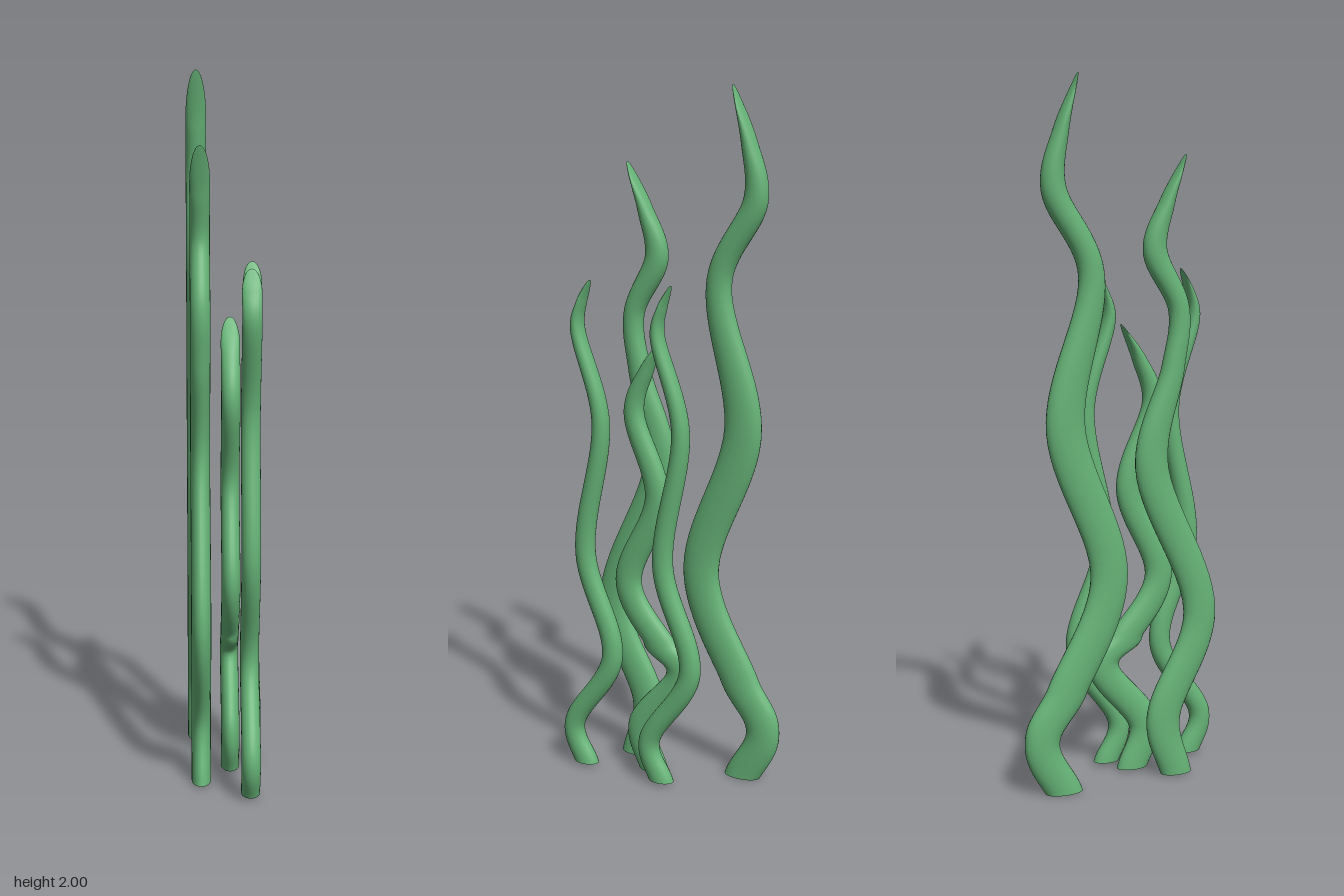
import * as THREE from 'three';

const SLOPE = 0.235;   // all blades wave in parallel, slightly turned planes
const SIDES = 24, RINGS = 120;

// Horizontal ellipses follow the wave through points [height, centre z, half depth],
// mostly its turning points, and close to a thin rounded tip.
function bladeGeometry(halfWidth, tipLength, points) {
  const curve = new THREE.CatmullRomCurve3(points.map(([y, z, d]) => new THREE.Vector3(d, y, z)));
  const top = points[points.length - 1][0];
  const positions = [], index = [];
  for (let i = 0; i <= RINGS; i++) {
    const s = 1 - (1 - i / RINGS) ** 1.3;                       // closer rings near the tip
    const p = curve.getPoint(s), tangent = curve.getTangent(s);
    const t = Math.max(0, 1 - (top - p.y) / tipLength);
    const across = halfWidth * Math.sqrt(Math.max(0, 1 - t * t));
    const depth = Math.max(0, p.x) * Math.hypot(1, tangent.z / tangent.y);  // wider where it leans
    for (let j = 0; j <= SIDES; j++) {
      const a = (j / SIDES) * Math.PI * 2;
      const dx = across * Math.cos(a), z = p.z + depth * Math.sin(a);
      positions.push(SLOPE * z + dx, p.y, z - SLOPE * dx);
    }
  }
  const row = SIDES + 1;
  for (let i = 0; i < RINGS; i++) for (let j = 0; j < SIDES; j++) {
    const a = i * row + j, b = a + row;
    index.push(a, b, a + 1, b, b + 1, a + 1);
  }
  // flat base with its own vertices for a sharp edge
  const base = positions.length / 3;
  positions.push(...positions.slice(0, row * 3));
  for (let j = 1; j < SIDES - 1; j++) index.push(base, base + j, base + j + 1);

  const g = new THREE.BufferGeometry();
  g.setAttribute('position', new THREE.Float32BufferAttribute(positions, 3));
  g.setIndex(index);
  g.computeVertexNormals();
  // blend normals across the seam
  const n = g.attributes.normal, v = new THREE.Vector3(), u = new THREE.Vector3();
  for (let i = 0; i <= RINGS; i++) {
    const a = i * row, b = a + SIDES;
    v.fromBufferAttribute(n, a).add(u.fromBufferAttribute(n, b)).normalize();
    n.setXYZ(a, v.x, v.y, v.z);
    n.setXYZ(b, v.x, v.y, v.z);
  }
  return g;
}

export function createModel() {
  const group = new THREE.Group();
  group.name = 'seaweed';
  const material = new THREE.MeshStandardMaterial({ color: 0x66b377 });
  const addBlade = (name, geometry, x, z = 0) => {
    const mesh = new THREE.Mesh(geometry, material);
    mesh.name = name;
    mesh.position.set(x, 0, z);
    group.add(mesh);
  };

  addBlade('tallBackBlade', bladeGeometry(0.029, 0.14, [
    [0, -0.18, 0.05], [0.15, -0.243, 0.05], [0.3, -0.168, 0.056], [0.61, -0.045, 0.054],
    [1.05, -0.17, 0.055], [1.47, -0.095, 0.036], [1.7, -0.2, 0.034], [1.85, -0.178, 0.02],
    [2, -0.13, 0]]), -0.077);

  addBlade('frontRightBlade', bladeGeometry(0.027, 0.1, [
    [0.005, 0.16, 0.045], [0.17, 0.12, 0.05], [0.48, 0.231, 0.048], [0.93, 0.082, 0.048],
    [1.2, 0.145, 0.033], [1.36, 0.162, 0.03], [1.53, 0.09, 0.034], [1.66, 0.125, 0.02],
    [1.79, 0.18, 0]]), -0.07);

  addBlade('centreBlade', bladeGeometry(0.026, 0.07, [
    [0.005, 0.04, 0.044], [0.13, 0.077, 0.045], [0.33, -0.047, 0.044], [0.41, 0.02, 0.043],
    [0.58, 0.12, 0.04], [0.85, 0.028, 0.036], [1.1, 0.1, 0.029], [1.22, 0.06, 0.019],
    [1.32, 0.005, 0]]), 0.017);

  // the two slim blades on the left share one shape
  const slim = bladeGeometry(0.026, 0.06, [
    [0.01, -0.03, 0.036], [0.12, 0.009, 0.031], [0.36, -0.12, 0.031], [0.67, -0.036, 0.03],
    [1.07, -0.09, 0.025], [1.34, -0.02, 0.018], [1.41, -0.035, 0.01], [1.47, -0.06, 0]]);
  addBlade('backLeftBlade', slim, 0.083);
  addBlade('frontLeftBlade', slim, 0.13, 0.256);
  return group;
}
